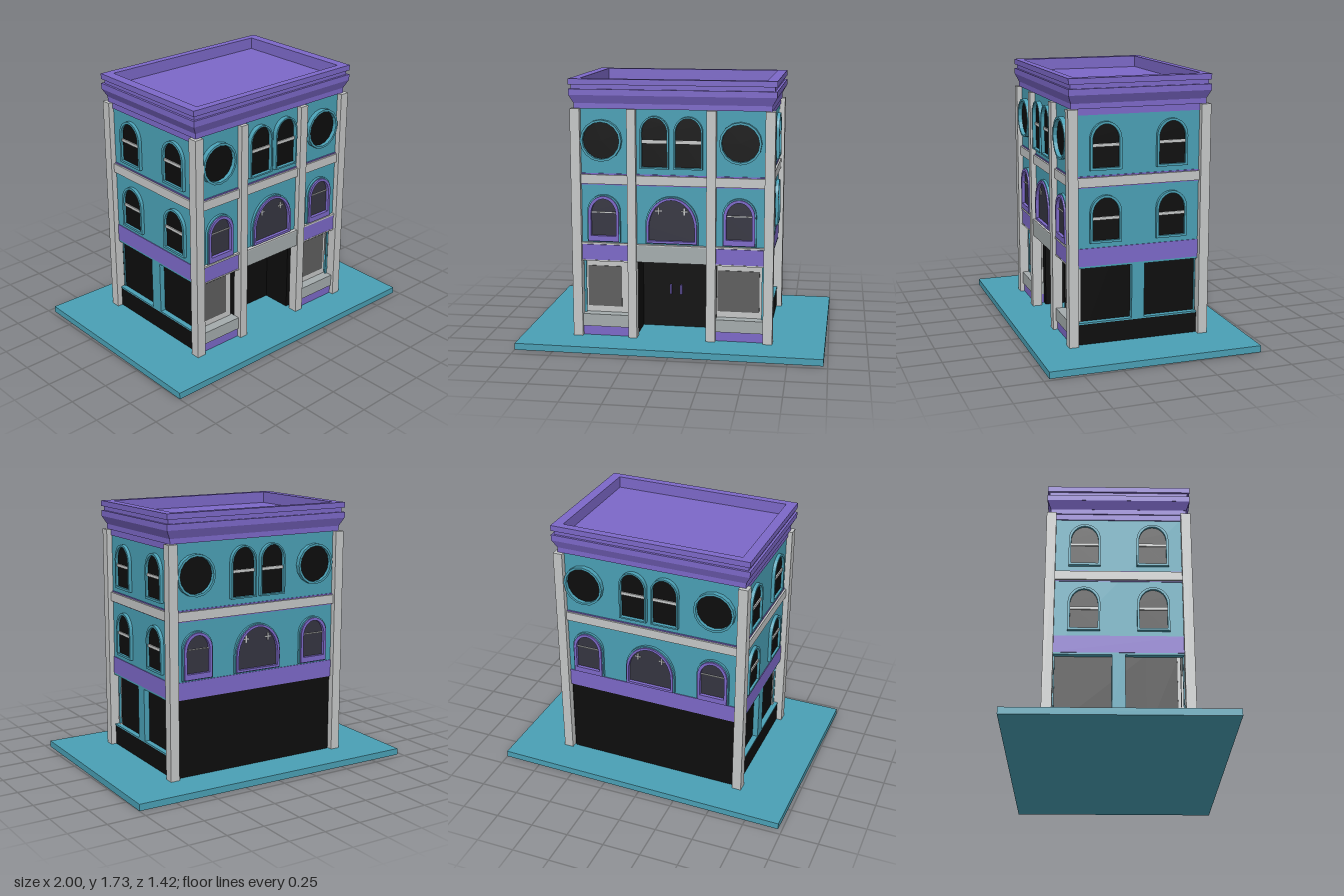
import * as THREE from 'three';

const mat = (name, color) => {
  const m = new THREE.MeshStandardMaterial({ color });
  m.name = name;
  return m;
};

export function createModel() {
  const teal = mat('teal', 0x4aa0b5), purple = mat('purple', 0x7c68c8);
  const light = mat('light stone', 0xc5c7c7), grey = mat('grey stone', 0xa4acad);
  const black = mat('black', 0x0d0d0d), glass = mat('dark glass', 0x353541);
  const shopGlass = mat('shop glass', 0x5e5e5e);

  const model = new THREE.Group();
  model.name = 'building';

  const add = (parent, name, geometry, material) => {
    const mesh = new THREE.Mesh(geometry, material);
    mesh.name = name;
    parent.add(mesh);
    return mesh;
  };
  // Box given by its limits on each axis
  const box = (name, material, [x0, x1], [y0, y1], [z0, z1], parent = model) => {
    const mesh = add(parent, name, new THREE.BoxGeometry(x1 - x0, y1 - y0, z1 - z0), material);
    mesh.position.set((x0 + x1) / 2, (y0 + y1) / 2, (z0 + z1) / 2);
    return mesh;
  };
  const rect = (w, h, Type = THREE.Shape) => new Type([
    new THREE.Vector2(-w, -h), new THREE.Vector2(w, -h), new THREE.Vector2(w, h), new THREE.Vector2(-w, h)]);
  const extrude = (shape, depth) =>
    new THREE.ExtrudeGeometry(shape, { depth, bevelEnabled: false, curveSegments: 8 });

  // Ground slab and storeys
  box('groundSlab', teal, [-0.987, 0.987], [0, 0.043], [-0.69, 0.69]);
  box('groundFloorCore', black, [-0.582, 0.582], [0.043, 0.555], [-0.432, 0.17]);
  box('leftShopCore', black, [0.225, 0.582], [0.043, 0.555], [0.17, 0.37]);
  box('rightShopCore', black, [-0.582, -0.24], [0.043, 0.555], [0.17, 0.37]);
  box('upperWalls', teal, [-0.615, 0.615], [0.552, 1.54], [-0.43, 0.43]);

  // Corner and front pillars
  for (const s of [-1, 1]) for (const t of [-1, 1]) {
    const px = s < 0 ? [-0.652, -0.59] : [0.59, 0.652];
    box('cornerPillar', light, px, [0.043, 1.538], t < 0 ? [-0.465, -0.402] : [0.402, 0.465]);
  }
  box('frontPillar', light, [-0.286, -0.23], [0.043, 1.538], [0.4, 0.465]);
  box('frontPillar', light, [0.223, 0.283], [0.043, 1.538], [0.4, 0.465]);

  // Belt courses around the building
  box('beltBacking', purple, [-0.62, 0.62], [1.048, 1.123], [-0.435, 0.435]);
  box('beltCourse', light, [-0.632, 0.632], [1.055, 1.115], [-0.447, 0.447]);
  box('lowerBand', purple, [-0.62, 0.62], [0.553, 0.667], [-0.435, 0.435]);

  // Frieze, flared cornice and parapet
  box('frieze', purple, [-0.63, 0.63], [1.538, 1.575], [-0.44, 0.44]);
  for (const s of [-1, 1]) box('sideFrieze', purple, s < 0 ? [-0.622, -0.6] : [0.6, 0.622], [1.498, 1.54], [-0.402, 0.402]);
  const flare = new THREE.BoxGeometry(1.32, 0.054, 0.925).toNonIndexed();
  const p = flare.attributes.position;
  for (let i = 0; i < p.count; i++) {
    if (p.getY(i) < 0) p.setXYZ(i, p.getX(i) * 0.955, p.getY(i), p.getZ(i) * 0.951);
  }
  flare.computeVertexNormals();
  add(model, 'corniceFlare', flare, purple).position.y = 1.598;
  box('roofDeck', purple, [-0.66, 0.66], [1.624, 1.65], [-0.4625, 0.4625]);
  const parapetRing = (name, w, d, y0, y1) => {
    const shape = rect(w, d);
    shape.holes.push(rect(0.595, 0.413, THREE.Path));
    const mesh = add(model, name, extrude(shape, y1 - y0), purple);
    mesh.rotation.x = -Math.PI / 2;
    mesh.position.y = y0;
  };
  parapetRing('corniceBand', 0.66, 0.4625, 1.65, 1.662);
  parapetRing('parapetGroove', 0.645, 0.4475, 1.662, 1.69);
  parapetRing('parapetCap', 0.66, 0.4625, 1.69, 1.726);

  // Arch outline standing on y = y0
  const arch = (w, y0, y1, rise, Type = THREE.Shape) => {
    const s = new Type();
    s.moveTo(-w, y0);
    s.lineTo(w, y0);
    s.lineTo(w, y1 - rise);
    s.absellipse(0, y1 - rise, w, rise, 0, Math.PI, false);
    s.lineTo(-w, y0);
    return s;
  };
  const archWindow = (parent, name, x, y, { w, h, rise, rim, sill = rim, depth, frame, pane, trim }) => {
    const g = new THREE.Group();
    g.name = name;
    g.position.set(x, y, 0);
    parent.add(g);
    const shape = arch(w, 0, h, rise);
    shape.holes.push(arch(w - rim, sill, h - rim, rise - rim * 0.5, THREE.Path));
    add(g, 'windowFrame', extrude(shape, depth), frame);
    add(g, 'windowPane', new THREE.ShapeGeometry(arch(w - rim, sill, h - rim, rise - rim * 0.5), 8), pane).position.z = 0.006;
    if (trim) {
      const edge = arch(w + 0.008, -0.006, h + 0.008, rise);
      edge.holes.push(arch(w, 0, h, rise, THREE.Path));
      add(g, 'windowSurround', extrude(edge, depth * 0.6), trim);
    }
    return g;
  };
  const bar = (g, w, y, h) => box('windowBar', light, [-w, w], [y - h / 2, y + h / 2], [0.006, 0.014], g);

  // Windows of the front and back walls
  for (const back of [false, true]) {
    const wall = new THREE.Group();
    wall.name = back ? 'backWindows' : 'frontWindows';
    wall.rotation.y = back ? Math.PI : 0;
    wall.position.z = back ? -0.43 : 0.43;
    model.add(wall);
    for (const s of [-1, 1]) {
      const round = new THREE.Group();
      round.name = 'roundWindow';
      round.position.set(s * 0.445 - 0.01, 1.336, 0);
      wall.add(round);
      const ring = new THREE.Shape().absarc(0, 0, 0.134, 0, Math.PI * 2);
      ring.holes.push(new THREE.Path().absarc(0, 0, 0.119, 0, Math.PI * 2));
      add(round, 'roundFrame', extrude(ring, 0.032), teal);
      add(round, 'roundPane', new THREE.CircleGeometry(0.121, 16), black).position.z = 0.006;

      const upper = archWindow(wall, 'upperArchWindow', s * 0.108 - 0.003, 1.163,
        { w: 0.092, h: 0.334, rise: 0.1, rim: 0.01, depth: 0.03, frame: teal, pane: black });
      bar(upper, 0.083, 0.172, 0.02);

      const small = archWindow(wall, 'smallArchWindow', s * 0.438 - 0.006, 0.682,
        { w: 0.1, h: 0.296, rise: 0.11, rim: 0.018, sill: 0.036, depth: 0.028, frame: purple, pane: glass, trim: teal });
      bar(small, 0.08, 0.188, 0.006);
    }
    const wide = archWindow(wall, 'wideArchWindow', -0.001, 0.682,
      { w: 0.163, h: 0.297, rise: 0.19, rim: 0.015, depth: 0.028, frame: purple, pane: glass, trim: teal });
    for (const x of [-0.085, 0.08]) {
      box('crossBar', light, [x - 0.022, x + 0.022], [0.206, 0.212], [0.006, 0.012], wide);
      box('crossPost', light, [x - 0.004, x + 0.004], [0.186, 0.232], [0.006, 0.012], wide);
    }
  }

  // Side walls: arched windows above, large framed openings below
  for (const s of [-1, 1]) {
    const wall = new THREE.Group();
    wall.name = s > 0 ? 'leftWall' : 'rightWall';
    wall.rotation.y = s * Math.PI / 2;
    wall.position.x = s * 0.615;
    model.add(wall);
    for (const x of [-0.217, 0.217]) for (const y of [0.7, 1.157]) {
      const g = archWindow(wall, 'sideWindow', x, y,
        { w: 0.102, h: 0.3, rise: 0.11, rim: 0.015, depth: 0.022, frame: teal, pane: black });
      bar(g, 0.087, 0.154, 0.019);
    }
    box('sidePlinth', black, [-0.402, 0.402], [0.043, 0.176], [-0.04, 0], wall);
    box('openingSill', teal, [-0.402, 0.402], [0.176, 0.186], [-0.04, 0.003], wall);
    box('openingHead', teal, [-0.402, 0.402], [0.54, 0.553], [-0.04, 0.003], wall);
    box('openingPost', teal, [-0.042, 0.042], [0.186, 0.54], [-0.04, 0.003], wall);
    for (const x of [-0.397, 0.397]) box('openingJamb', teal, [x - 0.004, x + 0.004], [0.186, 0.54], [-0.04, -0.025], wall);
  }

  // Shop fronts either side of the entrance: outer bay limits, frame limits, glass limits
  const shops = [
    { bay: [-0.592, -0.286], frame: [-0.585, -0.3], pane: [-0.567, -0.343] },
    { bay: [0.283, 0.592], frame: [0.283, 0.58], pane: [0.29, 0.56] },
  ];
  for (const { bay, frame, pane } of shops) {
    box('shopBase', purple, bay, [0.043, 0.105], [0.36, 0.435]);
    box('shopSill', grey, bay, [0.105, 0.187], [0.36, 0.445]);
    box('shopFrame', light, frame, [0.187, 0.54], [0.36, 0.38]);
    box('shopPane', shopGlass, pane, [0.227, 0.5], [0.38, 0.384]);
    box('shopSign', purple, bay, [0.553, 0.655], [0.36, 0.442]);
    box('signLedge', light, bay, [0.658, 0.67], [0.42, 0.448]);
    box('signFoot', light, bay, [0.545, 0.554], [0.36, 0.444]);
  }

  // Recessed entrance
  box('entranceLintel', grey, [-0.23, 0.223], [0.553, 0.66], [0.36, 0.456]);
  box('lintelLedge', light, [-0.23, 0.223], [0.66, 0.668], [0.42, 0.456]);
  for (const x of [-0.052, 0.018]) box('doorHandle', purple, [x - 0.006, x + 0.006], [0.27, 0.335], [0.17, 0.19]);

  // The whole block stands slightly turned
  model.rotation.y = -0.0187;
  const root = new THREE.Group();
  root.name = 'cornerBuilding';
  root.add(model);
  return root;
}
